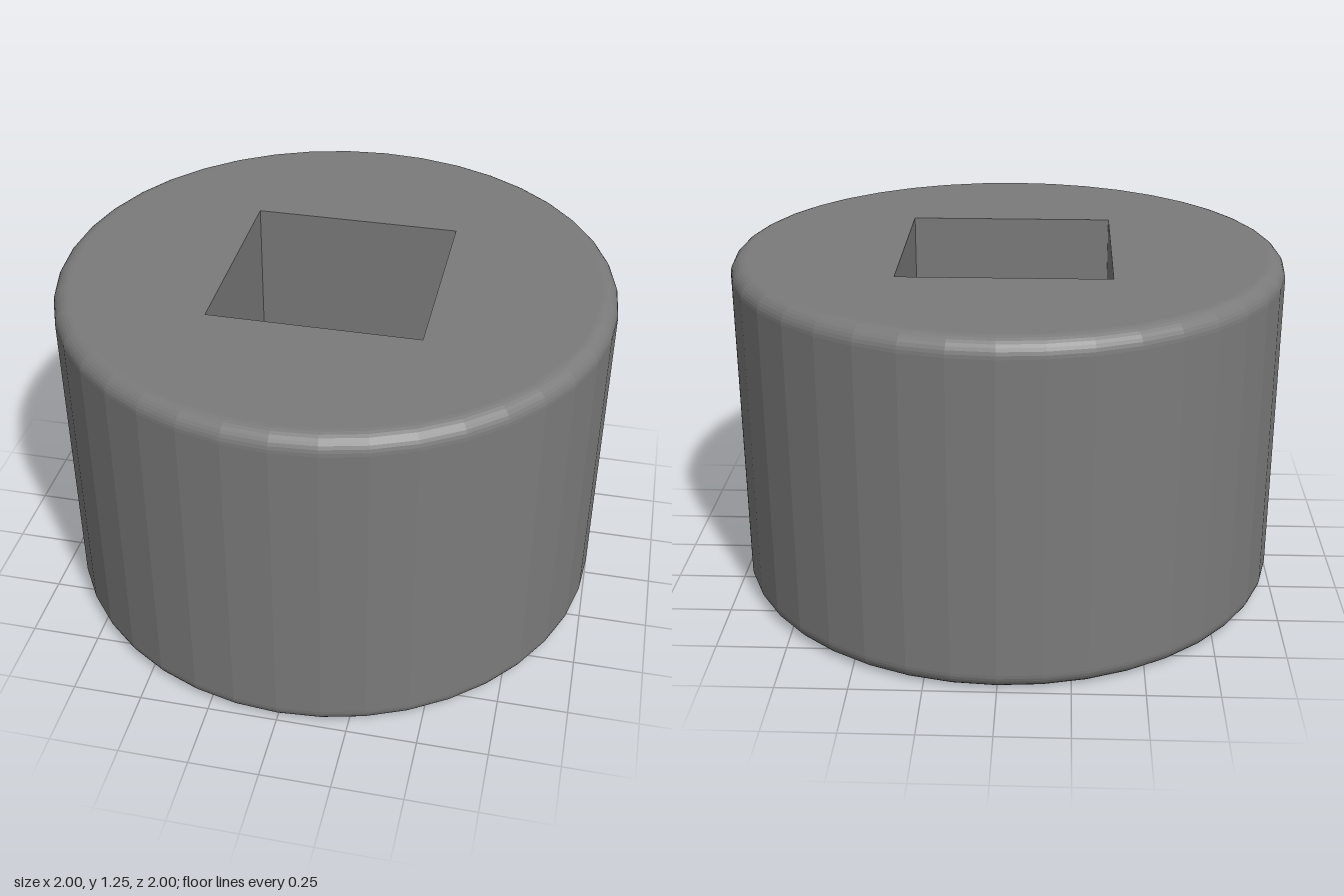
import * as THREE from 'three';

const HEIGHT = 1.25, RADIUS = 1, BEVEL = 0.0625, HOLE = 0.375;
const SIDES = 40, BEVEL_STEPS = 8;

export function createModel() {
  const group = new THREE.Group();
  group.name = 'squareSocketCylinder';
  const material = new THREE.MeshStandardMaterial({ color: 0x7b7b7b, flatShading: true });

  const add = (name, geometry) => {
    const mesh = new THREE.Mesh(geometry, material);
    mesh.name = name;
    group.add(mesh);
  };

  // Faceted outer wall with rounded bottom and top rims
  const profile = [];
  for (const [centreY, start] of [[BEVEL, -Math.PI / 2], [HEIGHT - BEVEL, 0]]) {
    for (let i = 0; i <= BEVEL_STEPS; i++) {
      const a = start + (i / BEVEL_STEPS) * Math.PI / 2;
      profile.push(new THREE.Vector2(RADIUS - BEVEL + BEVEL * Math.cos(a), centreY + BEVEL * Math.sin(a)));
    }
  }
  add('outerWall', new THREE.LatheGeometry(profile, SIDES));

  // Flat end faces, pierced by the square hole
  const outline = [];
  for (let i = 0; i < SIDES; i++) {
    const a = (i / SIDES) * Math.PI * 2;
    outline.push(new THREE.Vector2(Math.cos(a), Math.sin(a)).multiplyScalar(RADIUS - BEVEL));
  }
  const face = new THREE.Shape(outline);
  face.holes.push(new THREE.Path([[-1, -1], [-1, 1], [1, 1], [1, -1]]
    .map(([x, y]) => new THREE.Vector2(x * HOLE, y * HOLE))));
  add('topFace', new THREE.ShapeGeometry(face).rotateX(-Math.PI / 2).translate(0, HEIGHT, 0));
  add('bottomFace', new THREE.ShapeGeometry(face).rotateX(Math.PI / 2));

  // Four inward-facing walls of the through hole
  for (let i = 0; i < 4; i++) {
    add('holeWall' + (i + 1), new THREE.PlaneGeometry(HOLE * 2, HEIGHT)
      .translate(0, HEIGHT / 2, -HOLE).rotateY(i * Math.PI / 2));
  }
  return group;
}
